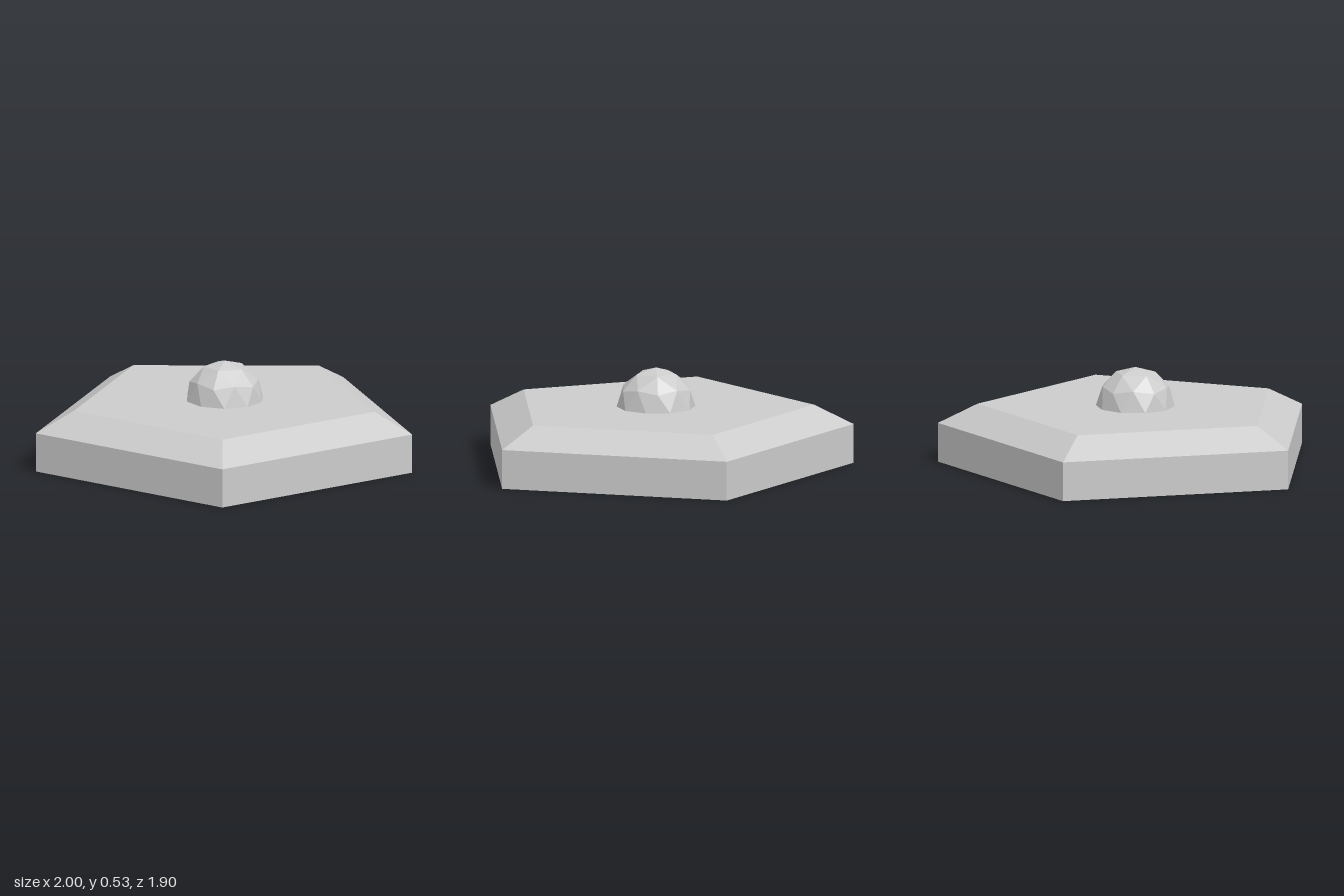
import * as THREE from 'three';

export function createModel() {
  const group = new THREE.Group();
  const material = new THREE.MeshStandardMaterial({ color: 0xcccccc, flatShading: true });
  const centreZ = 0.1;
  const outerRadius = 1.0515, topRadius = 0.84;
  const wallHeight = 0.21, topHeight = 0.317;

  // Pentagonal slab with a bevelled upper rim, one corner pointing back
  const profile = [
    [0, 0], [outerRadius, 0], [outerRadius, wallHeight], [topRadius, topHeight], [0, topHeight],
  ].map(([r, y]) => new THREE.Vector2(r, y));
  const slab = new THREE.Mesh(new THREE.LatheGeometry(profile, 5, Math.PI), material);
  slab.name = 'pentagonSlab';
  slab.position.z = centreZ;
  group.add(slab);

  // Faceted ball sunk halfway into the slab, turned to stand on a corner
  const ballGeometry = new THREE.IcosahedronGeometry(0.21, 1);
  ballGeometry.rotateX(-Math.atan((1 + Math.sqrt(5)) / 2));
  ballGeometry.rotateY(Math.PI / 2);
  const ball = new THREE.Mesh(ballGeometry, material);
  ball.name = 'domeKnob';
  ball.position.set(0, topHeight, centreZ);
  group.add(ball);

  return group;
}
